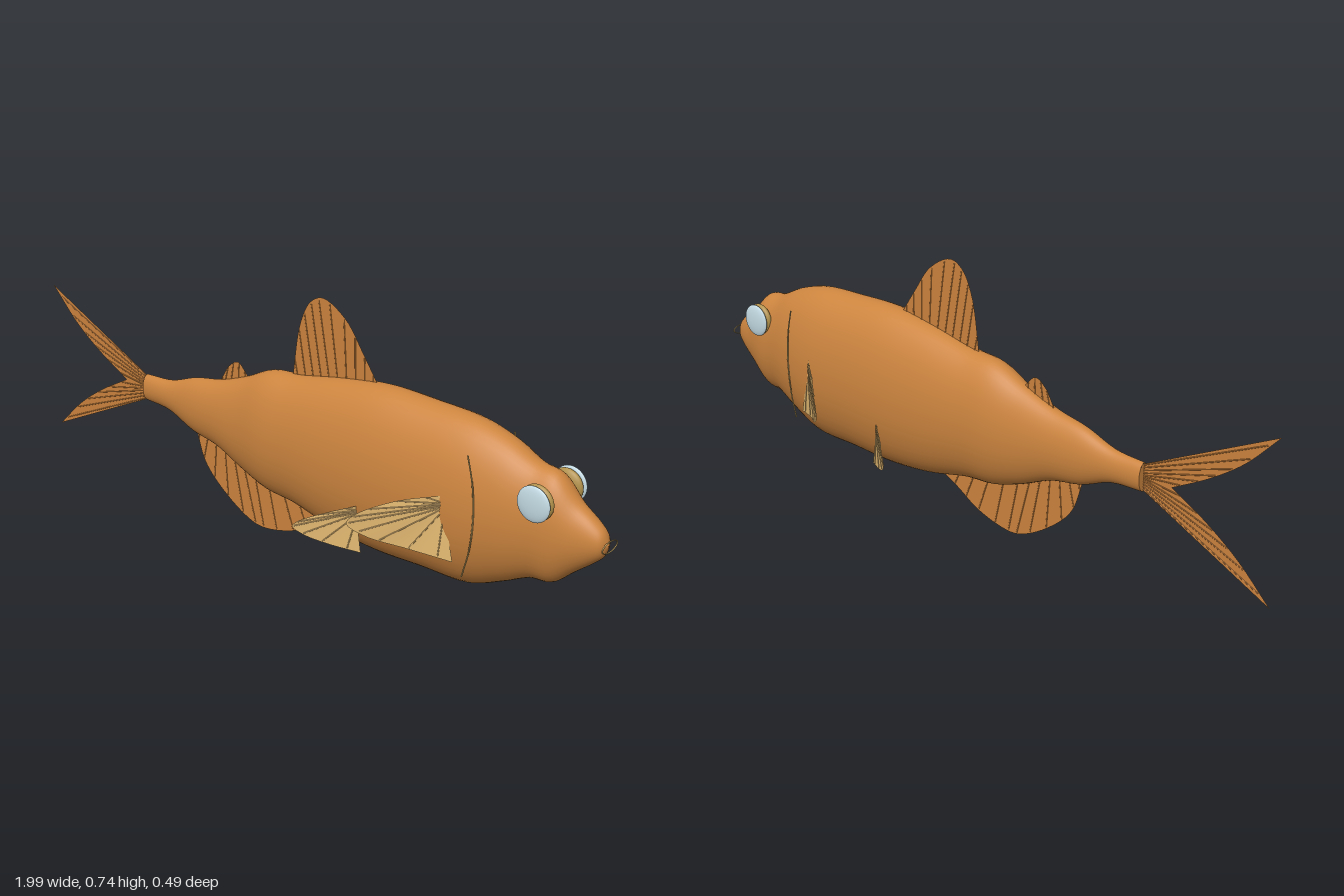
import * as THREE from 'three';

const mat = (name, color, side = THREE.FrontSide) => {
  const m = new THREE.MeshStandardMaterial({ color, side });
  m.name = name;
  return m;
};
const V = (x, y, z = 0) => new THREE.Vector3(x, y, z);
const curve = pts => new THREE.CatmullRomCurve3(pts.map(p => V(...p)), false, 'centripetal');

// Grid surface from a list of equally long rows of points
function gridGeometry(rows) {
  const n = rows[0].length, index = [];
  for (let i = 0; i < rows.length - 1; i++)
    for (let j = 0; j < n - 1; j++) {
      const a = i * n + j, b = a + n;
      index.push(a, b, a + 1, b, b + 1, a + 1);
    }
  const g = new THREE.BufferGeometry().setFromPoints(rows.flat());
  g.setIndex(index);
  g.computeVertexNormals();
  return g;
}

export function createModel() {
  const fish = new THREE.Group();
  fish.name = 'fish';
  const skin = mat('copper skin', 0xcd853f);
  const finSkin = mat('copper fin', 0xcb833e, THREE.DoubleSide);
  const paleFin = mat('pale fin', 0xe0b670, THREE.DoubleSide);
  const gold = mat('eye gold', 0xb0904a);
  const lens = mat('pale blue eye', 0xc4dbe4);
  const trim = mat('trim tan', 0xc8a866);

  const add = (parent, name, geometry, material) => {
    const m = new THREE.Mesh(geometry, material);
    m.name = name;
    parent.add(m);
    return m;
  };

  // Body: stations of x, top, bottom, half width
  const stations = [
    [-0.6, 0.355, 0.275, 0.02], [-0.5, 0.362, 0.268, 0.027], [-0.4, 0.395, 0.23, 0.04],
    [-0.3, 0.415, 0.21, 0.05], [-0.2, 0.45, 0.168, 0.064], [-0.1, 0.495, 0.135, 0.082],
    [0, 0.506, 0.125, 0.088], [0.15, 0.535, 0.092, 0.1], [0.3, 0.555, 0.078, 0.108],
    [0.45, 0.552, 0.082, 0.109], [0.6, 0.543, 0.086, 0.106], [0.7, 0.515, 0.125, 0.092],
    [0.78, 0.478, 0.162, 0.075], [0.84, 0.466, 0.17, 0.067], [0.9, 0.408, 0.218, 0.05],
    [0.95, 0.373, 0.258, 0.036], [0.975, 0.35, 0.282, 0.024], [0.988, 0.318, 0.314, 0.002],
  ];
  const tops = curve(stations.map(s => [s[0], s[1], s[3]]));
  const bottoms = curve(stations.map(s => [s[0], s[2], s[3]]));
  const rows = [];
  const steps = (stations.length - 1) * 5, sides = 48;
  for (let i = 0; i <= steps; i++) {
    const t = tops.getPoint(i / steps), b = bottoms.getPoint(i / steps);
    const row = [];
    for (let j = 0; j <= sides; j++) {
      const a = j / sides * Math.PI * 2;
      row.push(V(t.x, (t.y + b.y) / 2 + Math.sin(a) * (t.y - b.y) / 2, Math.cos(a) * t.z));
    }
    rows.push(row);
  }
  const bodyGeometry = gridGeometry(rows);
  // Average the normals along the seam
  const nor = bodyGeometry.attributes.normal;
  for (let i = 0; i <= steps; i++) {
    const a = i * (sides + 1), b = a + sides;
    const n = V(0, 0).fromBufferAttribute(nor, a).add(V(0, 0).fromBufferAttribute(nor, b)).normalize();
    nor.setXYZ(a, n.x, n.y, n.z);
    nor.setXYZ(b, n.x, n.y, n.z);
  }
  add(fish, 'body', bodyGeometry, skin);
  const stump = add(fish, 'tailStump', new THREE.CircleGeometry(1, 32), skin);
  stump.scale.set(0.02, 0.04, 1);
  stump.position.set(-0.6, 0.315, 0);
  stump.rotation.y = -Math.PI / 2;

  // Fin: a membrane stretched from a base curve to an edge curve, with thin rays
  function fin(name, basePts, edgePts, rayCount, material) {
    const group = new THREE.Group();
    group.name = name;
    const base = curve(basePts), edge = curve(edgePts), strips = [];
    for (let i = 0; i <= 32; i++) {
      const a = base.getPoint(i / 32), b = edge.getPoint(i / 32);
      strips.push([0, 0.5, 1].map(t => a.clone().lerp(b, t)));
    }
    add(group, name + 'Membrane', gridGeometry(strips), material);
    for (let i = 0; i < rayCount; i++) {
      const t = (i + 0.5) / rayCount;
      const a = base.getPoint(t), b = edge.getPoint(t).lerp(a, 0.03);
      add(group, name + 'Ray', new THREE.TubeGeometry(new THREE.LineCurve3(a, b), 1, 0.0018, 6), material);
    }
    fish.add(group);
  }

  fin('dorsalFin', [[-0.02, 0.49], [0.12, 0.51], [0.27, 0.53]],
    [[-0.025, 0.5], [0, 0.65], [0.035, 0.72], [0.08, 0.742], [0.16, 0.7], [0.22, 0.62], [0.268, 0.55]],
    10, finSkin);
  fin('rearDorsalFin', [[-0.3, 0.4], [-0.19, 0.44]],
    [[-0.3, 0.41], [-0.265, 0.465], [-0.23, 0.485], [-0.195, 0.455]], 5, finSkin);
  fin('analFin', [[-0.4, 0.25], [-0.2, 0.19], [0.125, 0.12]],
    [[-0.4, 0.235], [-0.365, 0.14], [-0.28, 0.06], [-0.18, 0.007], [-0.125, 0.003],
      [-0.02, 0.03], [0.06, 0.075], [0.125, 0.105]], 12, finSkin);

  // Forked tail
  fin('upperTailLobe', [[-0.595, 0.315], [-0.595, 0.35]],
    [[-0.69, 0.315], [-0.8, 0.375], [-0.9, 0.445], [-1, 0.545]], 6, finSkin);
  fin('lowerTailLobe', [[-0.595, 0.315], [-0.595, 0.28]],
    [[-0.69, 0.315], [-0.8, 0.255], [-0.9, 0.185], [-1, 0.09]], 6, finSkin);

  for (const s of [1, -1]) {
    const side = s > 0 ? 'left' : 'right';

    // Paired fins, swept out and back
    fin(side + 'PectoralFin', [[0.57, 0.335, s * 0.1], [0.57, 0.315, s * 0.1]],
      [[0.56, 0.355, s * 0.106], [0.47, 0.335, s * 0.17], [0.39, 0.295, s * 0.232], [0.37, 0.268, s * 0.245],
        [0.41, 0.235, s * 0.218], [0.5, 0.205, s * 0.155], [0.6, 0.18, s * 0.1]], 9, paleFin);
    fin(side + 'PelvicFin', [[0.285, 0.225, s * 0.098], [0.285, 0.205, s * 0.098]],
      [[0.29, 0.24, s * 0.098], [0.22, 0.215, s * 0.145], [0.16, 0.187, s * 0.192], [0.148, 0.172, s * 0.2],
        [0.175, 0.148, s * 0.182], [0.23, 0.125, s * 0.145], [0.3, 0.105, s * 0.098]], 7, paleFin);

    // Eye: gold mount under a pale lens
    const mount = add(fish, side + 'EyeMount', new THREE.SphereGeometry(1, 32, 20), gold);
    mount.scale.set(0.047, 0.047, 0.017);
    mount.position.set(0.82, 0.404, s * 0.064);
    const eye = add(fish, side + 'Eye', new THREE.SphereGeometry(1, 32, 20), lens);
    eye.scale.set(0.048, 0.048, 0.01);
    eye.position.set(0.82, 0.404, s * 0.081);

    // Gill line
    const gill = curve([[0.635, 0.485, s * 0.1], [0.652, 0.41, s * 0.1], [0.658, 0.32, s * 0.1],
      [0.65, 0.23, s * 0.1], [0.63, 0.15, s * 0.1]]);
    add(fish, side + 'GillLine', new THREE.TubeGeometry(gill, 32, 0.002, 6), trim);
  }

  // Mouth ring
  const mouth = add(fish, 'mouth', new THREE.TorusGeometry(0.034, 0.002, 8, 40), trim);
  mouth.scale.set(1, 0.42, 1);
  mouth.rotation.y = Math.PI / 2;
  mouth.position.set(0.99, 0.315, 0);

  return fish;
}
